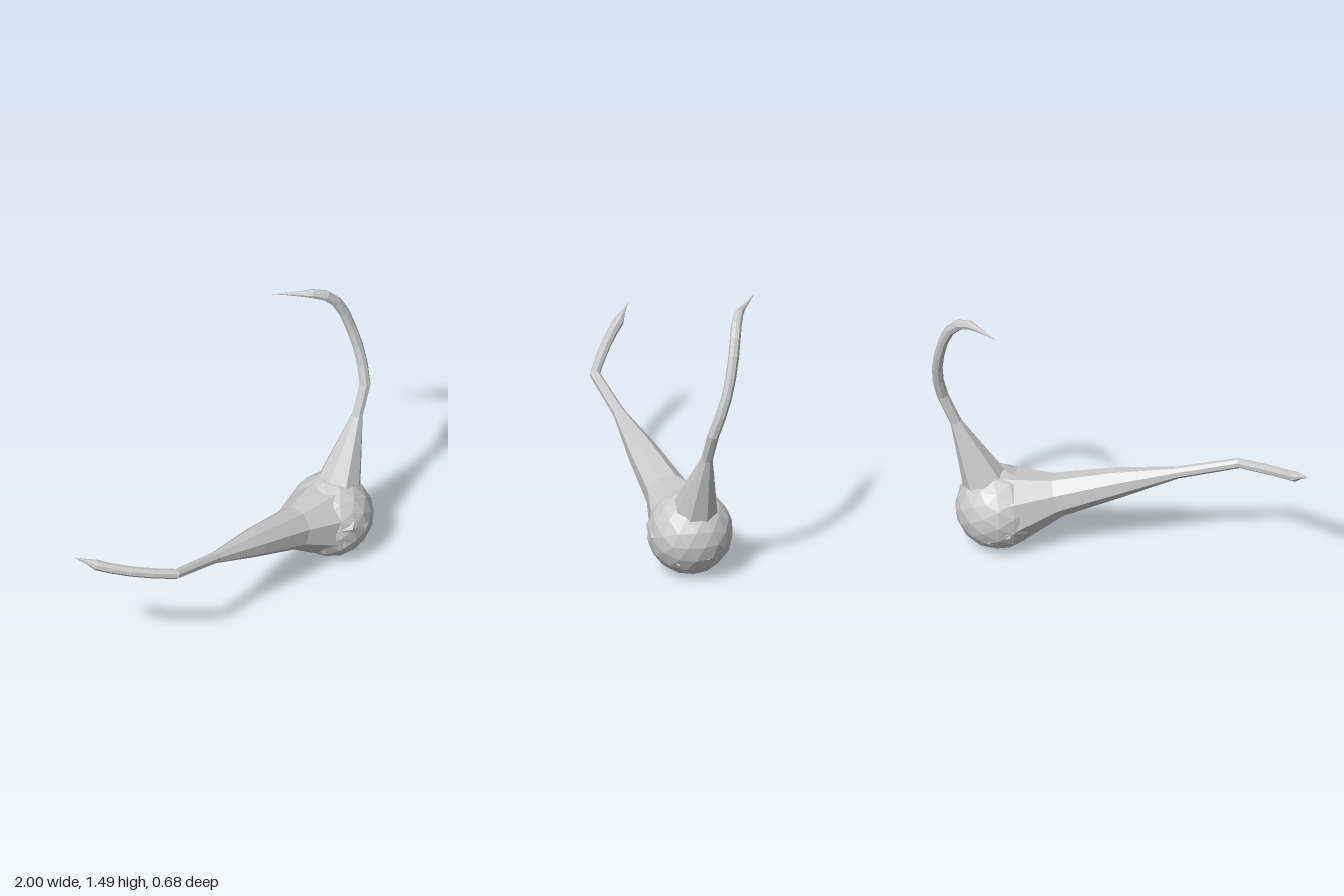
import * as THREE from 'three';

const SIDES = 8;
const material = new THREE.MeshStandardMaterial({ color: 0xcccccc, flatShading: true, side: THREE.DoubleSide });

// Faceted tapering limb: stations are [x, y, z, radius]
function limb(name, stations) {
  const points = stations.map(([x, y, z]) => new THREE.Vector3(x, y, z));
  const positions = [], index = [];
  let normal = new THREE.Vector3(0, 0, 1);
  points.forEach((p, i) => {
    const before = points[Math.max(i - 1, 0)];
    const after = points[Math.min(i + 1, points.length - 1)];
    const tangent = after.clone().sub(before).normalize();
    // carry the frame along the path without twist
    normal = normal.clone().addScaledVector(tangent, -normal.dot(tangent)).normalize();
    const binormal = new THREE.Vector3().crossVectors(tangent, normal);
    for (let k = 0; k < SIDES; k++) {
      const a = ((k + 0.5) / SIDES) * Math.PI * 2;
      const v = p.clone()
        .addScaledVector(normal, Math.cos(a) * stations[i][3])
        .addScaledVector(binormal, Math.sin(a) * stations[i][3]);
      positions.push(v.x, v.y, v.z);
      if (i > 0) {
        const c = i * SIDES + k, d = i * SIDES + ((k + 1) % SIDES);
        index.push(c - SIDES, d - SIDES, d, c - SIDES, d, c);
      }
    }
  });
  const geometry = new THREE.BufferGeometry();
  geometry.setAttribute('position', new THREE.Float32BufferAttribute(positions, 3));
  geometry.setIndex(index);
  geometry.computeVertexNormals();
  const mesh = new THREE.Mesh(geometry, material);
  mesh.name = name;
  return mesh;
}

export function createModel() {
  const group = new THREE.Group();
  group.name = 'tendrilBulb';

  // Round body
  const center = new THREE.Vector3(0.68, 0.224, 0.008);
  const body = new THREE.Mesh(new THREE.IcosahedronGeometry(0.224, 2), material);
  body.name = 'body';
  body.position.copy(center);
  group.add(body);

  // Long sideways limb with a bent, pointed end
  group.add(limb('longLimb', [
    [0.64, 0.235, 0.015, 0.215],
    [0.56, 0.26, 0.035, 0.185],
    [0.38, 0.315, 0.085, 0.115],
    [0.08, 0.41, 0.162, 0.08],
    [-0.22, 0.495, 0.235, 0.032],
    [-0.53, 0.577, 0.312, 0.027],
    [-0.64, 0.605, 0.27, 0.027],
    [-0.75, 0.637, 0.22, 0.027],
    [-0.84, 0.667, 0.17, 0.027],
    [-0.905, 0.693, 0.128, 0.028],
    [-0.95, 0.721, 0.098, 0.012],
    [-1, 0.745, 0.066, 0.001],
  ]));

  // Upright limb that hooks over at the top
  group.add(limb('hookedLimb', [
    [0.715, 0.3, -0.005, 0.125],
    [0.755, 0.4, -0.012, 0.115],
    [0.893, 0.73, -0.048, 0.03],
    [0.958, 0.89, -0.07, 0.03],
    [0.968, 1.0, -0.107, 0.029],
    [0.962, 1.1, -0.138, 0.028],
    [0.942, 1.2, -0.163, 0.028],
    [0.91, 1.31, -0.184, 0.028],
    [0.87, 1.39, -0.198, 0.028],
    [0.815, 1.445, -0.213, 0.028],
    [0.745, 1.474, -0.238, 0.024],
    [0.69, 1.478, -0.268, 0.014],
    [0.63, 1.483, -0.305, 0.007],
    [0.555, 1.487, -0.345, 0.001],
  ]));

  // Shallow flakes lying on the body: [direction x, y, z, spin, size]
  const flakes = [
    [-0.1, 0.2, 1, 0.4, 0.09], [0.35, 0.05, 1, 2.2, 0.07], [-0.25, -0.25, 1, 1.2, 0.07],
    [1, -0.4, -0.35, 0.3, 0.04], [0.9, -0.6, 0.45, 0.9, 0.045],
    [-0.6, -0.3, -0.8, 0.6, 0.07], [-0.1, -0.5, -0.85, 1.9, 0.06],
  ];
  flakes.forEach(([x, y, z, spin, size], i) => {
    const flake = new THREE.Mesh(new THREE.ConeGeometry(size, size * 0.35, 3), material);
    const direction = new THREE.Vector3(x, y, z).normalize();
    flake.name = `flake${i + 1}`;
    flake.quaternion.setFromUnitVectors(new THREE.Vector3(0, 1, 0), direction);
    flake.rotateY(spin);
    flake.position.copy(center).addScaledVector(direction, 0.217);
    group.add(flake);
  });

  return group;
}
